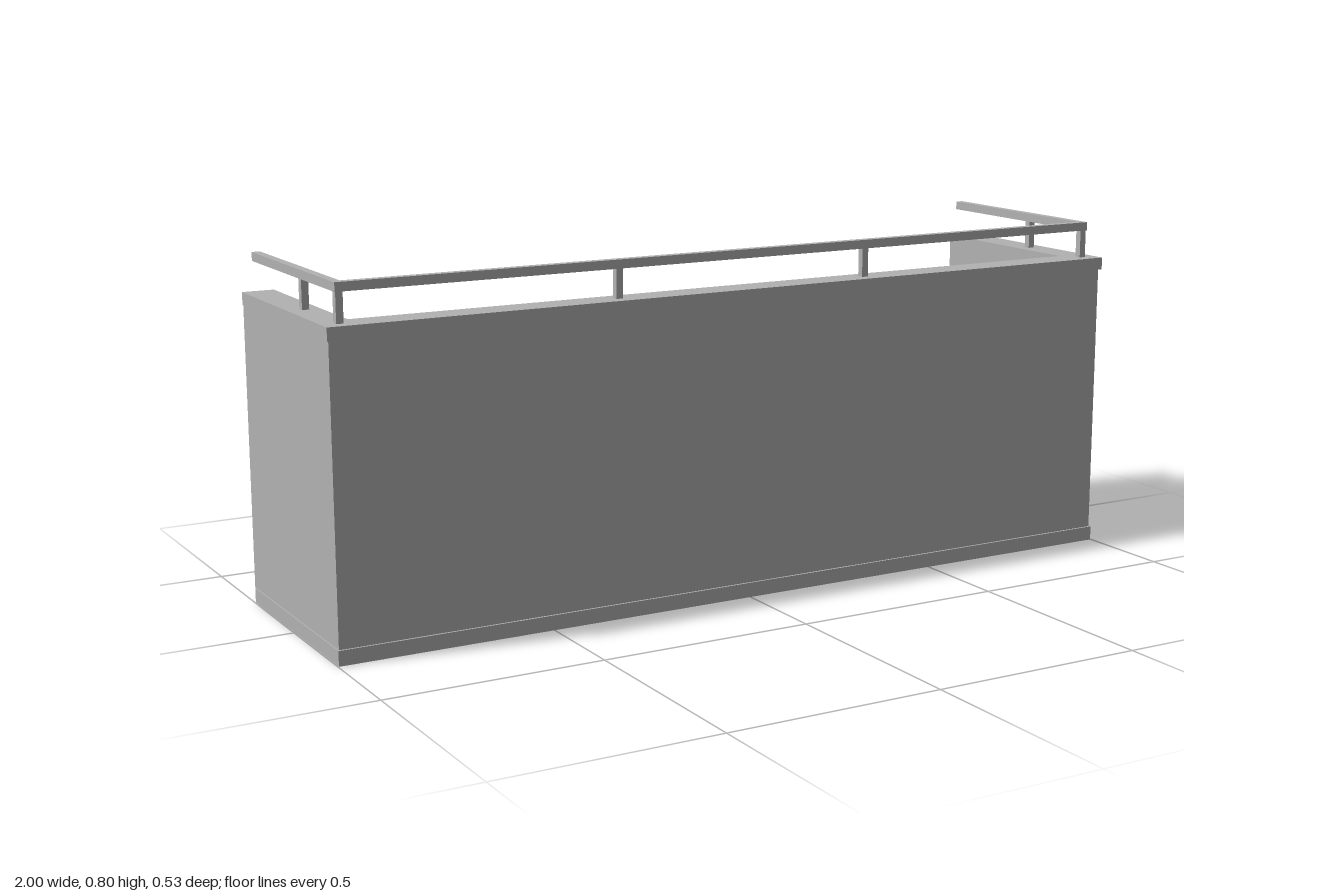
import * as THREE from 'three';

const concrete = new THREE.MeshStandardMaterial({ color: 0xb2b2b2 });
concrete.name = 'light grey';

// U-shaped band, open at the back, extruded upwards from y0 to y1
function uBand(name, halfX, front, back, thick, y0, y1) {
  const innerX = halfX - thick, innerZ = front - thick;
  const shape = new THREE.Shape([
    [-halfX, -back], [-halfX, -front], [halfX, -front], [halfX, -back],
    [innerX, -back], [innerX, -innerZ], [-innerX, -innerZ], [-innerX, -back],
  ].map(([x, y]) => new THREE.Vector2(x, y)));
  const geometry = new THREE.ExtrudeGeometry(shape, { depth: y1 - y0, bevelEnabled: false });
  geometry.rotateX(-Math.PI / 2).translate(0, y0, 0);
  const mesh = new THREE.Mesh(geometry, concrete);
  mesh.name = name;
  return mesh;
}

function box(name, w, h, d, x, y, z) {
  const mesh = new THREE.Mesh(new THREE.BoxGeometry(w, h, d), concrete);
  mesh.name = name;
  mesh.position.set(x, y, z);
  return mesh;
}

export function createModel() {
  const balcony = new THREE.Group();
  balcony.name = 'balcony';

  // Parapet walls and the floor slab between them
  balcony.add(uBand('parapetWalls', 0.995, 0.26, -0.267, 0.06, 0.003, 0.69));
  balcony.add(box('floorSlab', 1.87, 0.067, 0.467, 0, 0.0365, -0.0335));

  // Trim around the foot and coping along the top
  balcony.add(uBand('baseTrim', 0.998, 0.265, -0.257, 0.05, 0, 0.034));
  balcony.add(uBand('coping', 1, 0.267, -0.257, 0.073, 0.685, 0.714));

  // Handrail
  balcony.add(uBand('handrail', 0.971, 0.241, -0.267, 0.019, 0.78, 0.8));

  // Posts: corners, front and sides
  const posts = new THREE.Group();
  posts.name = 'railPosts';
  for (const side of [-1, 1]) {
    for (const [x, z] of [[0.961, 0.231], [0.32, 0.231], [0.961, 0.032]]) {
      posts.add(box('railPost', 0.016, 0.07, 0.016, side * x, 0.747, z));
    }
  }
  balcony.add(posts);
  return balcony;
}
